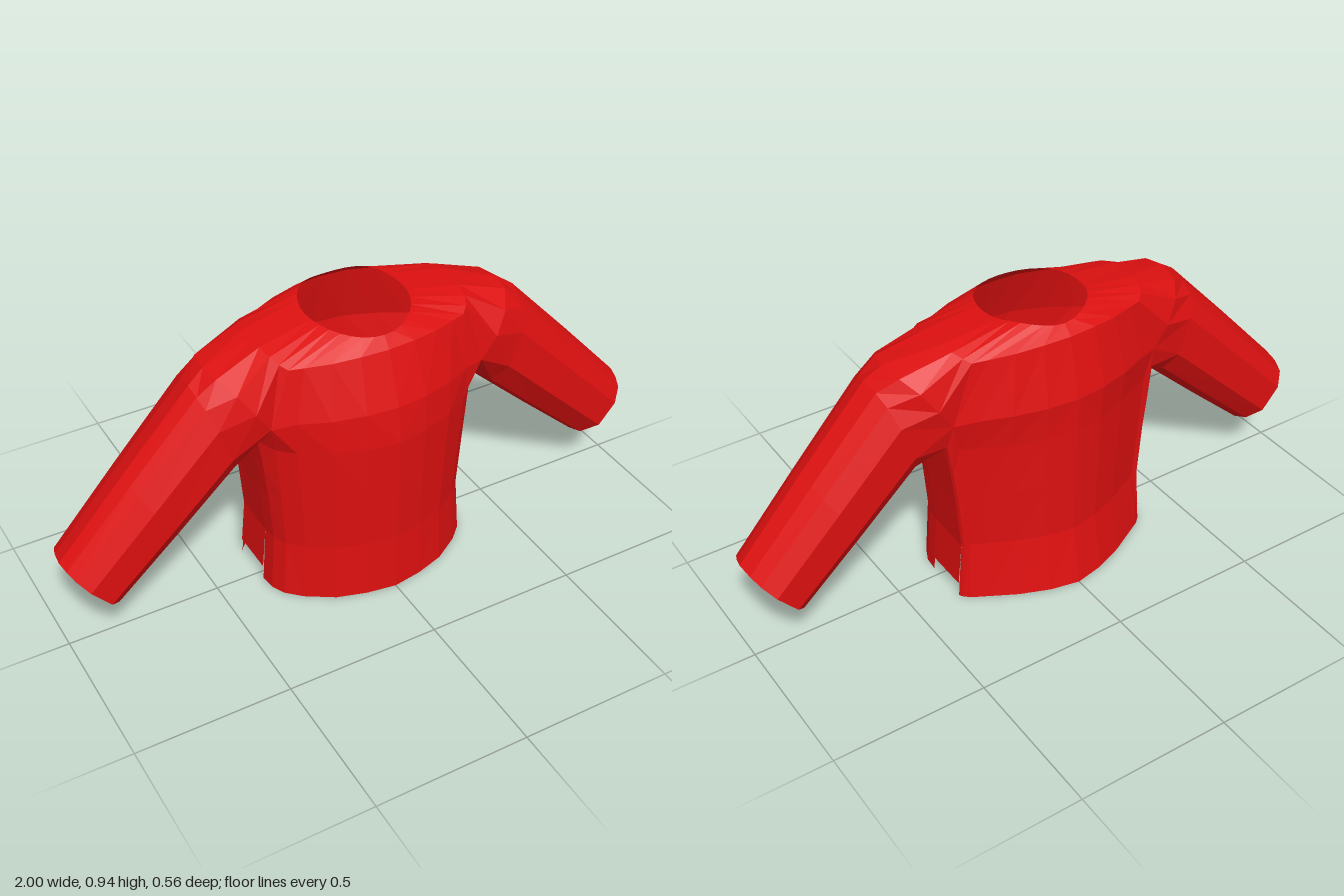
import * as THREE from 'three';

const red = new THREE.MeshStandardMaterial({ color: 0xdd1010, flatShading: true, side: THREE.DoubleSide });
red.name = 'red cloth';

// Lofted patch through rows of points; s = -1 mirrors it across x
function patch(name, rows, s) {
  const pos = [];
  const put = (p) => pos.push(p[0] * s, p[1], p[2]);
  for (let i = 0; i < rows.length - 1; i++) {
    for (let j = 0; j < rows[i].length - 1; j++) {
      const a = rows[i][j], b = rows[i][j + 1], c = rows[i + 1][j + 1], d = rows[i + 1][j];
      (s > 0 ? [a, b, c, a, c, d] : [a, c, b, a, d, c]).forEach(put);
    }
  }
  const geo = new THREE.BufferGeometry();
  geo.setAttribute('position', new THREE.Float32BufferAttribute(pos, 3));
  geo.computeVertexNormals();
  const mesh = new THREE.Mesh(geo, red);
  mesh.name = name;
  return mesh;
}

// Lower torso columns, from the centre to the side seam
const colX = [0, 0.1, 0.2, 0.29, 0.338, 0.36, 0.365];
const frontZ = [0.27, 0.255, 0.225, 0.17, 0.125, 0.08, 0.03];
const backZ = [-0.28, -0.26, -0.222, -0.175, -0.15, -0.13, -0.12];
const levels = [
  // y, y at the side columns, width, front depth, back depth
  [0, 0, 0.96, 1, 1],
  [0.2, 0.2, 0.92, 0.98, 0.88],
  [0.4, 0.38, 0.96, 1.01, 0.89],
  [0.58, 0.5, 1.0, 1.03, 0.9],
];
const level = ([y, ySide, w, f, b], back) => colX.map((x, i) => [
  x * w, i > 4 ? ySide : y, back ? backZ[i] * (i < 5 ? b : 1) : frontZ[i] * f,
]);

// Chest line at the foot of the yoke, then the armhole up to the shoulder
const chestFront = [[0, 0.7, 0.265], [0.1, 0.7, 0.255], [0.2, 0.695, 0.225], [0.29, 0.69, 0.18], [0.362, 0.68, 0.155]];
const chestBack = [[0, 0.7, -0.255], [0.1, 0.7, -0.245], [0.2, 0.695, -0.215], [0.29, 0.69, -0.175], [0.362, 0.68, -0.145]];
const armFront = [[0.41, 0.755, 0.162], [0.455, 0.82, 0.135], [0.49, 0.855, 0.075]];
const shoulder = [0.5, 0.863, 0.01];
const armBack = armFront.map(([x, y, z]) => [x, y, -z * 0.93]);
const underFront = [[0.375, 0.6, 0.085], [0.375, 0.58, 0.03]];
const underBack = [[0.375, 0.6, -0.125], [0.375, 0.58, -0.1]];

// Yoke lines, front centre over the shoulder to back centre
const outer = [...chestFront, ...armFront, shoulder, ...[...armBack].reverse(), ...[...chestBack].reverse()];
const midFront = [[0, 0.87, 0.206], [0.09, 0.87, 0.2], [0.175, 0.865, 0.182], [0.25, 0.86, 0.155],
  [0.295, 0.86, 0.142], [0.315, 0.875, 0.125], [0.33, 0.89, 0.095], [0.34, 0.9, 0.05]];
const middle = [...midFront, [0.34, 0.902, 0],
  ...[...midFront].reverse().map(([x, y, z]) => [x, y + z * 0.12, -z * 1.02])];
const neck = outer.map((_, i) => {
  const a = (i / 16) * Math.PI, z = Math.cos(a);
  const y = z > 0 ? 0.93 - 0.025 * z * z : 0.93 + 0.012 * Math.sin(a * 2) ** 2 - 0.006 * z * z;
  return [0.165 * Math.sin(a), y, 0.178 * z];
});

// Sleeve ring starts at the front armpit and goes over the top
const armhole = [chestFront[4], ...armFront, shoulder, ...[...armBack].reverse(), chestBack[4],
  ...underBack, ...[...underFront].reverse(), chestFront[4]];
// share of the height from under-arm to top, and depth
const ringShape = [[0.3, 0.125], [0.67, 0.125], [0.87, 0.095], [0.95, 0.06], [1, 0.02], [0.96, -0.035], [0.88, -0.08],
  [0.68, -0.112], [0.3, -0.112], [0.08, -0.07], [0, -0.025], [0, 0.025], [0.06, 0.075], [0.3, 0.125]];
const sleeveRing = ([tx, ty, bx, by, k]) => ringShape.map(([u, z]) =>
  [bx + (tx - bx) * u, by + (ty - by) * u, z * k]);
const stations = [
  // top x, top y, bottom x, bottom y, depth
  [1, 0.345, 0.84, 0.155, 0.98],
  [0.78, 0.585, 0.64, 0.335, 1.06],
  [0.555, 0.825, 0.45, 0.51, 1.12],
];

export function createModel() {
  const group = new THREE.Group();
  group.name = 'sweater';
  for (const [side, s] of [['left', 1], ['right', -1]]) {
    // Front and back panels
    const front = [...levels.map((l) => level(l, false)), [...chestFront, ...underFront]];
    const back = [...levels.map((l) => level(l, true)), [...chestBack, ...underBack]];
    group.add(patch(side + 'FrontPanel', front, s));
    group.add(patch(side + 'BackPanel', back.map((r) => [...r].reverse()), s));

    // Side panel, cut short at the hem
    const sidePanel = front.map((r, i) => [r[6], back[i][6]]);
    sidePanel[0] = sidePanel[0].map(([x, , z]) => [x, 0.05, z]);
    group.add(patch(side + 'SidePanel', sidePanel, s));

    // Yoke with the neck opening, and the sleeve
    group.add(patch(side + 'Yoke', [outer, middle, neck], s));
    group.add(patch(side + 'Sleeve', [...stations.map(sleeveRing), armhole], s));
  }
  return group;
}
